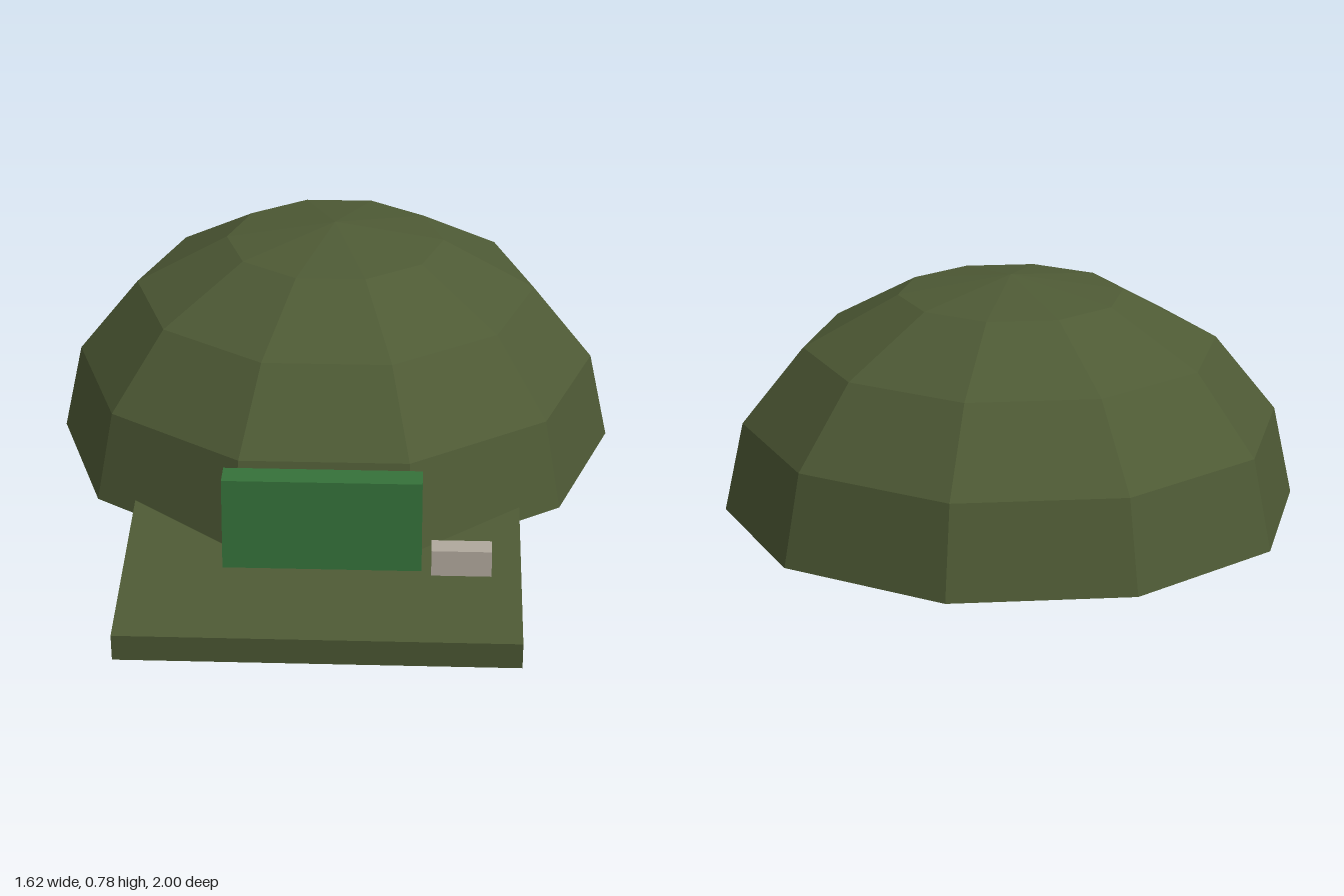
import * as THREE from 'three';

export function createModel() {
  const cap = new THREE.Group();
  cap.name = 'cap';

  const olive = new THREE.MeshStandardMaterial({ color: 0x4e5a35, flatShading: true, side: THREE.DoubleSide });
  olive.name = 'olive cloth';
  const green = new THREE.MeshStandardMaterial({ color: 0x35723a, flatShading: true });
  green.name = 'badge green';
  const grey = new THREE.MeshStandardMaterial({ color: 0xb0a89c, flatShading: true });
  grey.name = 'warm grey';

  const add = (name, geometry, material, x, y, z) => {
    const mesh = new THREE.Mesh(geometry, material);
    mesh.name = name;
    mesh.position.set(x, y, z);
    cap.add(mesh);
    return mesh;
  };

  // Ten-sided crown, open underneath
  const dome = new THREE.SphereGeometry(1, 10, 4, 0, Math.PI * 2, 0, Math.PI * 0.51);
  dome.scale(0.811, 0.645, 0.841);
  add('crown', dome, olive, 0, 0.14, -0.2);

  // Brim slab, sloping down to the front
  const brim = add('brim', new THREE.BoxGeometry(1.08, 0.078, 0.645), olive, 0, 0.08, 0.675);
  brim.rotation.x = 0.125;

  // Upright front panel and the small block beside it
  add('frontPanel', new THREE.BoxGeometry(0.54, 0.28, 0.08), green, 0, 0.24, 0.645);
  add('sideBlock', new THREE.BoxGeometry(0.163, 0.16, 0.064), grey, 0.378, 0.11, 0.672);

  return cap;
}
